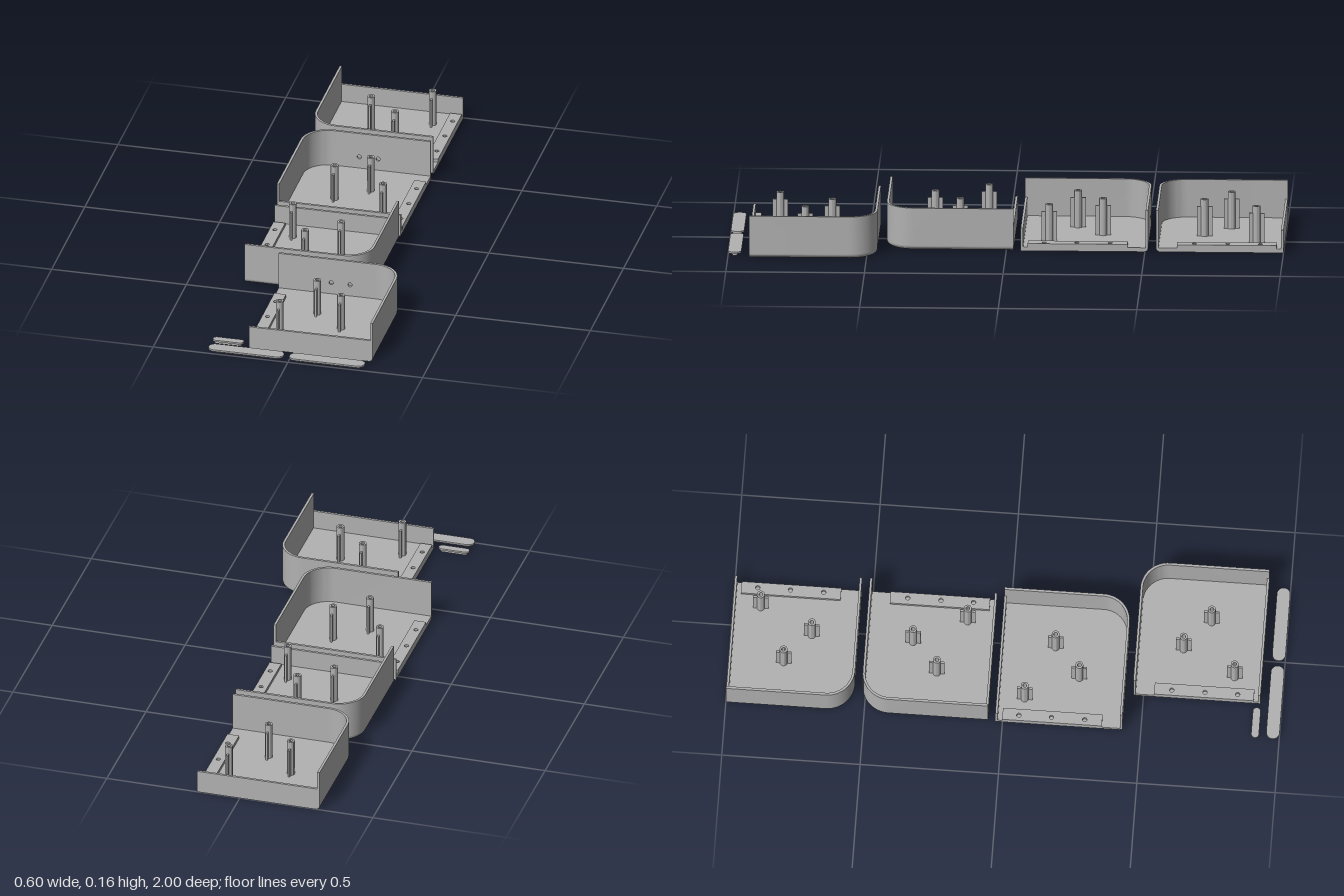
import * as THREE from 'three';
import { toCreasedNormals } from 'three/addons/utils/BufferGeometryUtils.js';

const H = 0.23;        // half the side of a tray
const R = 0.1;         // plan radius of the rounded corner
const WALL = 0.009, TOP = 0.155, LOW = 0.085;
const FLOOR = 0.015;   // floor thickness and bottom edge radius

const grey = new THREE.MeshStandardMaterial({ color: 0xb2b2b2 });
grey.name = 'grey plastic';

// Scales by +-1 on each axis and keeps faces outward
function reflect(geo, sx, sy, sz) {
  const g = geo.index ? geo.toNonIndexed() : geo;
  g.scale(sx, sy, sz);
  if (sx * sy * sz > 0) return g;
  for (const attr of Object.values(g.attributes)) {
    const n = attr.itemSize, a = attr.array;
    for (let i = 0; i < attr.count; i += 3)
      for (let k = 0; k < n; k++) {
        const p = (i + 1) * n + k, q = (i + 2) * n + k;
        [a[p], a[q]] = [a[q], a[p]];
      }
  }
  return g;
}

// Plan line inset by d: right side, rounded corner, then back side to xEnd (plan y is -z)
function sideLine(d, xEnd = -H) {
  const pts = [new THREE.Vector2(H - d, -H)];
  for (let i = 0; i <= 14; i++) {
    const a = (i / 14) * Math.PI / 2;
    pts.push(new THREE.Vector2(H - R + (R - d) * Math.cos(a), H - R + (R - d) * Math.sin(a)));
  }
  pts.push(new THREE.Vector2(xEnd, H - d));
  return pts;
}

const floorLoop = d => [...sideLine(d), new THREE.Vector2(-H, -H)];

// Extrudes a plan shape upward from y0 to y1
function upright(shape, y0, y1) {
  const g = new THREE.ExtrudeGeometry(shape, { depth: y1 - y0, bevelEnabled: false, curveSegments: 20 });
  g.rotateX(-Math.PI / 2).translate(0, y0, 0);
  return toCreasedNormals(g, 0.5);
}

function box(x0, x1, y0, y1, z0, z1) {
  return new THREE.BoxGeometry(x1 - x0, y1 - y0, z1 - z0)
    .translate((x0 + x1) / 2, (y0 + y1) / 2, (z0 + z1) / 2);
}

function hole(x, y, r) {
  const p = new THREE.Path();
  p.absarc(x, y, r, 0, Math.PI * 2, true);
  return p;
}

function rect(x0, x1, y0, y1) {
  return new THREE.Shape([[x0, y0], [x1, y0], [x1, y1], [x0, y1]].map(p => new THREE.Vector2(...p)));
}

// Floor edge, rounded underneath along the two tall sides
function floorEdge() {
  const pos = [], index = [], steps = 7;
  let n = 0;
  for (let i = 0; i <= steps; i++) {
    const a = (i / steps) * Math.PI / 2;
    const loop = floorLoop(FLOOR * (1 - Math.sin(a)));
    n = loop.length;
    for (const p of loop) pos.push(p.x, FLOOR * (1 - Math.cos(a)), -p.y);
  }
  for (let i = 0; i < steps; i++)
    for (let j = 0; j < n; j++) {
      const a = i * n + j, b = i * n + (j + 1) % n;
      index.push(a, b, b + n, a, b + n, a + n);
    }
  const g = new THREE.BufferGeometry();
  g.setAttribute('position', new THREE.Float32BufferAttribute(pos, 3));
  g.setIndex(index);
  return toCreasedNormals(g, 0.5);
}

function floorFace(d) {
  return new THREE.ShapeGeometry(new THREE.Shape(floorLoop(d))).rotateX(-Math.PI / 2);
}

// One tray: tall walls at +x and -z, low wall at +z, screw ledge at the open -x side
function tray(name, x, z, sx, sz, wallHoles) {
  const group = new THREE.Group();
  group.name = name;
  group.position.set(x, 0, z);
  const add = (part, geo) => {
    const m = new THREE.Mesh(reflect(geo, sx, 1, sz), grey);
    m.name = part;
    group.add(m);
  };

  add('floorEdge', floorEdge());
  add('floorTop', floorFace(0).translate(0, FLOOR, 0));
  add('floorUnderside', reflect(floorFace(FLOOR), 1, -1, 1));

  // Tall wall, with a drilled panel where needed
  const P = 0.1, end = wallHoles ? P : -H;
  add('tallWall', upright(new THREE.Shape([...sideLine(0, end), ...sideLine(WALL, end).reverse()]), FLOOR, TOP));
  if (wallHoles) {
    const panel = rect(-H, P, FLOOR, TOP);
    for (const hx of [-0.035, 0.035]) panel.holes.push(hole(hx, 0.06, 0.008));
    const g = new THREE.ExtrudeGeometry(panel, { depth: WALL, bevelEnabled: false, curveSegments: 20 });
    add('drilledWall', toCreasedNormals(g.translate(0, 0, -H), 0.5));
  }
  add('lowWall', box(-H, H - WALL, FLOOR, LOW, H - WALL, H));

  // Ledge with three screw holes
  const ledge = rect(-H, -H + 0.044, -0.205, 0.155);
  for (const hz of [-0.092, 0.028, 0.146]) ledge.holes.push(hole(-0.21, -hz, 0.008));
  add('screwLedge', upright(ledge, FLOOR, 0.027));

  // Hollow posts with a fin on either side
  for (const [px, pz] of [[-0.047, -0.061], [0.064, 0.033], [-0.14, 0.13]]) {
    const ring = new THREE.Shape();
    ring.absarc(px, -pz, 0.014, 0, Math.PI * 2, false);
    ring.holes.push(hole(px, -pz, 0.007));
    add('post', upright(ring, FLOOR, 0.152));
    for (const s of [-1, 1]) {
      const a = pz + s * 0.012, b = pz + s * 0.028;
      add('postFin', box(px - 0.0035, px + 0.0035, FLOOR, 0.125, Math.min(a, b), Math.max(a, b)));
    }
  }
  return group;
}

// Plan shape with two round ends
function capsule(x0, x1, r) {
  const s = new THREE.Shape();
  s.absarc(x1 - r, 0, r, -Math.PI / 2, Math.PI / 2, false);
  s.absarc(x0 + r, 0, r, Math.PI / 2, Math.PI * 1.5, false);
  return s;
}

// Loose slot cover: wide plate on a narrower key
function slotCover(x0, x1, z, r, inset) {
  const group = new THREE.Group();
  group.name = 'slotCover';
  group.position.z = z;
  const parts = {
    coverKey: upright(capsule(x0 + inset, x1 - inset, r - inset), 0, 0.01),
    coverPlate: upright(capsule(x0, x1, r), 0.01, 0.0165),
  };
  for (const [name, geo] of Object.entries(parts)) {
    const m = new THREE.Mesh(geo, grey);
    m.name = name;
    group.add(m);
  }
  return group;
}

export function createModel() {
  const model = new THREE.Group();
  model.name = 'enclosureParts';
  model.add(
    tray('frontTray', 0.066, 0.693, 1, 1, true),
    tray('middleFrontTray', -0.07, 0.204, 1, -1, false),
    tray('middleBackTray', -0.07, -0.282, -1, 1, true),
    tray('backTray', -0.07, -0.77, -1, -1, false),
    slotCover(-0.3, -0.02, 0.976, 0.024, 0.015),
    slotCover(0, 0.28, 0.976, 0.024, 0.015),
    slotCover(-0.3, -0.185, 0.912, 0.014, 0.007),
  );
  return model;
}
